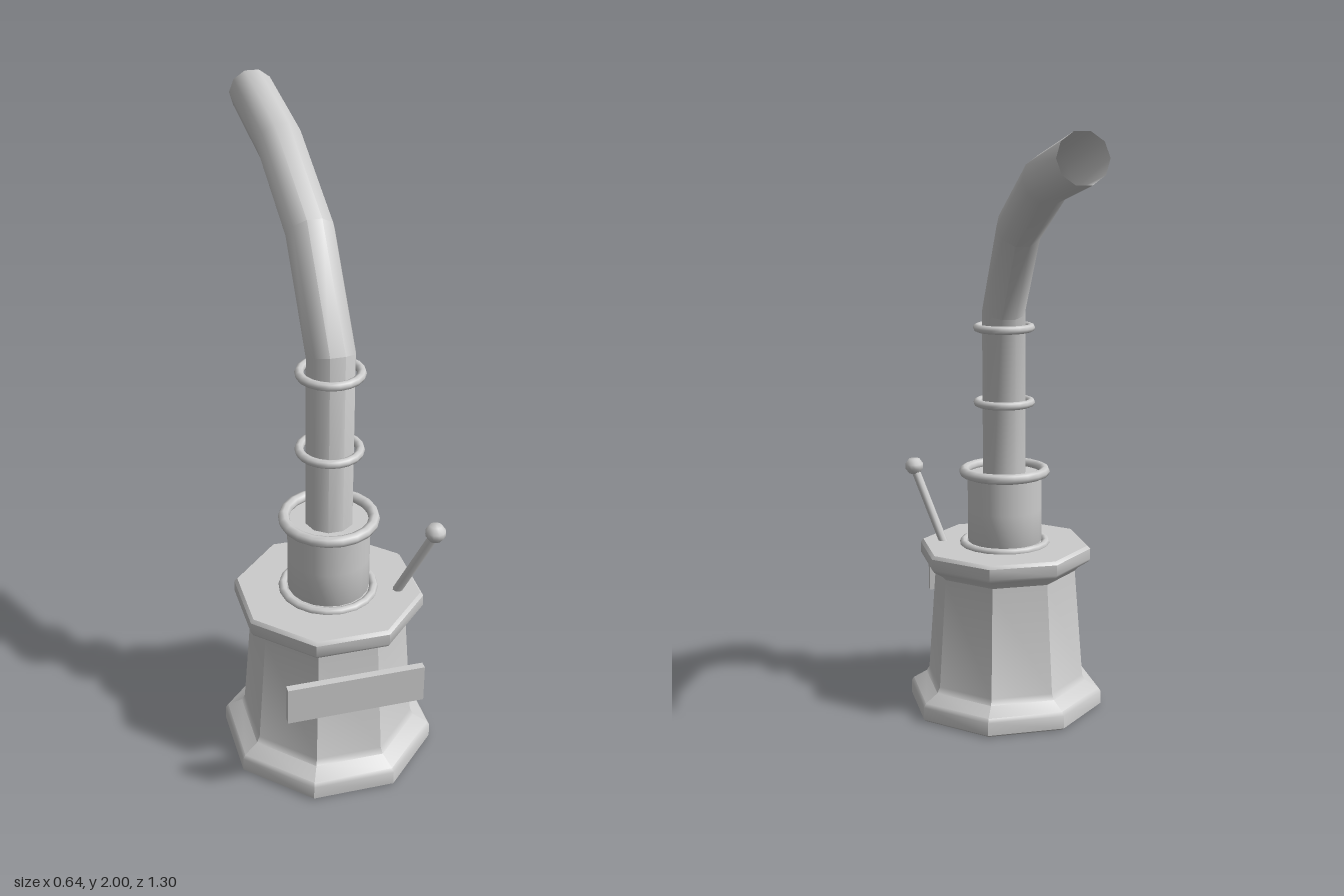
import * as THREE from 'three';
import { toCreasedNormals } from 'three/addons/utils/BufferGeometryUtils.js';

const CX = -0.005, CZ = 0.327; // vertical axis of the base

export function createModel() {
  const group = new THREE.Group();
  const grey = new THREE.MeshStandardMaterial({ color: 0xcccccc, side: THREE.DoubleSide });
  grey.name = 'light grey';

  const add = (name, geometry, x, y, z) => {
    const mesh = new THREE.Mesh(geometry, grey);
    mesh.name = name;
    mesh.position.set(x, y, z);
    group.add(mesh);
    return mesh;
  };
  const lathe = (profile, sides) =>
    new THREE.LatheGeometry(profile.map(([r, y]) => new THREE.Vector2(r, y)), sides);

  // Octagonal pedestal: radii are measured to the flats
  const flat = Math.cos(Math.PI / 8);
  const pedestal = lathe([
    [0, 0.003], [0.312, 0.003], [0.32, 0.01], [0.32, 0.055], [0.312, 0.068],
    [0.268, 0.095], [0.258, 0.115], [0.231, 0.5], [0.24, 0.512], [0.274, 0.535],
    [0.281, 0.546], [0.281, 0.583], [0.272, 0.594], [0, 0.594],
  ].map(([r, y]) => [r / flat, y]), 8);
  pedestal.rotateY(Math.PI / 8);
  add('pedestal', toCreasedNormals(pedestal, 0.65), CX, 0, CZ);

  // Cup with a softly shaded foot
  add('cup', lathe([[0.1, 0.596], [0.13, 0.606], [0.13, 0.72], [0.13, 0.845]], 20), CX, 0, CZ);
  add('cupLid', lathe([[0.13, 0.845], [0, 0.845]], 20), CX, 0, CZ);

  // Horizontal rings: name, ring radius, tube radius, height
  for (const [name, R, r, y] of [
    ['footRing', 0.145, 0.014, 0.597],
    ['cupRing', 0.141, 0.018, 0.854],
    ['lowerPipeRing', 0.093, 0.014, 1.098],
    ['upperPipeRing', 0.093, 0.014, 1.357],
  ]) {
    add(name, new THREE.TorusGeometry(R, r, 8, 20).rotateX(Math.PI / 2), CX, y, CZ);
  }

  // Open pipe with mitred bends, ten-sided
  const path = [[0.62, 0.33], [1.415, 0.33], [1.707, 0.101], [1.867, -0.253], [1.931, -0.638]]
    .map(([y, z]) => new THREE.Vector2(z, y));
  const sides = 10, radius = 0.076, positions = [], index = [];
  path.forEach((p, i) => {
    const before = p.clone().sub(path[Math.max(i - 1, 0)]).normalize();
    const after = path[Math.min(i + 1, path.length - 1)].clone().sub(p).normalize();
    const along = before.clone().add(after).normalize();
    const stretch = 1 / along.dot(i ? before : after);
    for (let k = 0; k < sides; k++) {
      const a = k / sides * Math.PI * 2, s = radius * Math.sin(a) * stretch;
      positions.push(CX + radius * Math.cos(a), p.y - along.x * s, p.x + along.y * s);
      if (i === 0) continue;
      const n = (k + 1) % sides, lo = (i - 1) * sides, hi = i * sides;
      index.push(lo + k, hi + k, lo + n, lo + n, hi + k, hi + n);
    }
  });
  const pipe = new THREE.BufferGeometry();
  pipe.setAttribute('position', new THREE.Float32BufferAttribute(positions, 3));
  pipe.setIndex(index);
  add('bentPipe', toCreasedNormals(pipe, 0.75), 0, 0, 0);

  // Slanted lever with a knob
  const foot = new THREE.Vector3(0.2, 0.585, 0.4), tip = new THREE.Vector3(0.287, 0.845, 0.492);
  const mid = foot.clone().lerp(tip, 0.5);
  const rod = add('leverRod', new THREE.CylinderGeometry(0.015, 0.015, foot.distanceTo(tip), 8), mid.x, mid.y, mid.z);
  rod.quaternion.setFromUnitVectors(new THREE.Vector3(0, 1, 0), tip.clone().sub(foot).normalize());
  add('leverKnob', lathe([[0, -0.027], [0.019, -0.026], [0.032, -0.008], [0.032, 0.008], [0.019, 0.026], [0, 0.027]], 12),
    tip.x, tip.y + 0.005, tip.z);

  // Blank plate standing in front of the pedestal
  add('frontPlate', new THREE.BoxGeometry(0.436, 0.126, 0.024), -0.004, 0.404, 0.637);

  return group;
}
